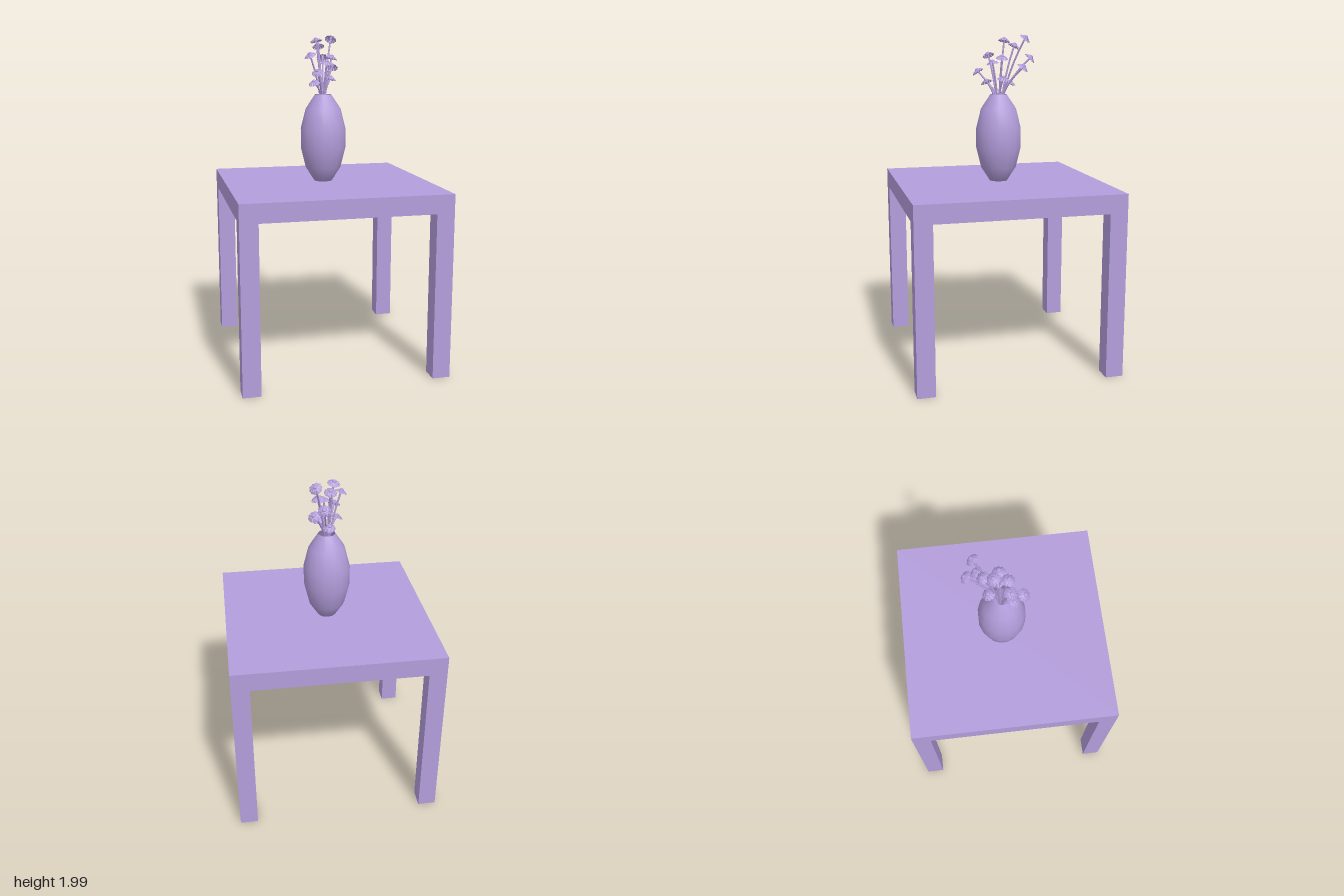
import * as THREE from 'three';
import { mergeGeometries } from 'three/addons/utils/BufferGeometryUtils.js';

const lilac = new THREE.MeshStandardMaterial({ color: 0xb39ddb });
const lilacThin = new THREE.MeshStandardMaterial({ color: 0xb39ddb, side: THREE.DoubleSide });

function addMesh(parent, name, geometry, material = lilac) {
  const mesh = new THREE.Mesh(geometry, material);
  mesh.name = name;
  parent.add(mesh);
  return mesh;
}

// Square table: thick slab on four corner legs flush with its edges
function createTable() {
  const table = new THREE.Group();
  table.name = 'table';
  const width = 1.23, leg = 0.106, under = 0.993, top = 1.105;
  addMesh(table, 'tableTop', new THREE.BoxGeometry(width, top - under, width))
    .position.y = (top + under) / 2;
  for (const sx of [-1, 1]) for (const sz of [-1, 1]) {
    const name = (sz > 0 ? 'front' : 'back') + (sx > 0 ? 'Left' : 'Right') + 'Leg';
    addMesh(table, name, new THREE.BoxGeometry(leg, under, leg))
      .position.set(sx * (width - leg) / 2, under / 2, sz * (width - leg) / 2);
  }
  return table;
}

// Open faceted-profile vase with a closed foot
function createVase() {
  const profile = [[0, 0], [0.055, 0], [0.108, 0.083], [0.138, 0.205],
    [0.138, 0.325], [0.108, 0.445], [0.05, 0.533]].map(p => new THREE.Vector2(...p));
  const geometry = new THREE.LatheGeometry(profile, 16, Math.PI / 16);
  return addMesh(new THREE.Group(), 'vase', geometry, lilacThin);
}

// One petal: a strip along +x that widens outward, cups and droops
function petalGeometry() {
  const petal = new THREE.PlaneGeometry(1, 1, 3, 2).rotateX(-Math.PI / 2);
  const p = petal.attributes.position;
  for (let i = 0; i < p.count; i++) {
    const t = p.getX(i) + 0.5, side = p.getZ(i) * 2;
    const round = 1 - 0.12 * side * side * t;
    p.setXYZ(i, (0.008 + 0.03 * t) * round,
      0.003 - 0.016 * t * t - 0.003 * side * side * t,
      side * (0.003 + 0.0065 * t));
  }
  petal.computeVertexNormals();
  return petal;
}

// Ring of petals shared by every bloom
function petalRing(count) {
  const petals = [];
  for (let i = 0; i < count; i++)
    petals.push(petalGeometry().rotateY(i * 2 * Math.PI / count));
  return mergeGeometries(petals);
}

const petals = petalRing(10);
const button = new THREE.SphereGeometry(0.013, 10, 6).scale(1, 0.65, 1).translate(0, 0.003, 0);
const calyx = new THREE.CylinderGeometry(0.011, 0.005, 0.016, 8).translate(0, -0.007, 0);

// Bloom centres: x, y, z
const blooms = [
  [0.078, 1.978, -0.160], [-0.042, 1.968, -0.058], [-0.014, 1.935, -0.116],
  [-0.100, 1.880, 0.032], [0.035, 1.862, -0.205], [0.050, 1.865, -0.020],
  [0.006, 1.835, 0.030], [0.086, 1.808, -0.145], [-0.070, 1.782, 0.108],
  [-0.078, 1.718, 0.050], [0.045, 1.740, -0.030], [-0.012, 1.712, -0.088],
];

// Stem bending outward from the vase mouth, tipped with a tilted bloom
function createFlower([x, y, z], centre) {
  const flower = new THREE.Group();
  flower.name = 'flower';
  const head = new THREE.Vector3(x, y, z);
  const out = new THREE.Vector3(x - centre.x, 0, z - centre.z);
  const axis = out.clone().multiplyScalar(5).setY(1).normalize();
  const spread = Math.min(0.25, 0.032 / out.length());
  const at = (h, k) => new THREE.Vector3(centre.x + out.x * k, h, centre.z + out.z * k);
  const mid = at(1.64 + (y - 1.64) * 0.6, spread + (1 - spread) * 0.5);
  const path = new THREE.CatmullRomCurve3([
    at(1.25, -spread), at(1.64, spread), mid,
    head.clone().addScaledVector(axis, -0.008)]);
  addMesh(flower, 'stem', new THREE.TubeGeometry(path, 16, 0.0055, 6));

  const bloom = new THREE.Group();
  bloom.name = 'bloom';
  addMesh(bloom, 'petals', petals, lilacThin);
  addMesh(bloom, 'flowerCentre', button);
  addMesh(bloom, 'calyx', calyx);
  bloom.position.copy(head);
  bloom.quaternion.setFromUnitVectors(new THREE.Vector3(0, 1, 0), axis);
  flower.add(bloom);
  return flower;
}

export function createModel() {
  const model = new THREE.Group();
  model.name = 'tableWithFlowers';
  model.add(createTable());
  const vase = createVase();
  vase.position.set(-0.007, 1.105, -0.012);
  model.add(vase);
  const bouquet = new THREE.Group();
  bouquet.name = 'bouquet';
  for (const bloom of blooms) bouquet.add(createFlower(bloom, vase.position));
  model.add(bouquet);
  return model;
}
